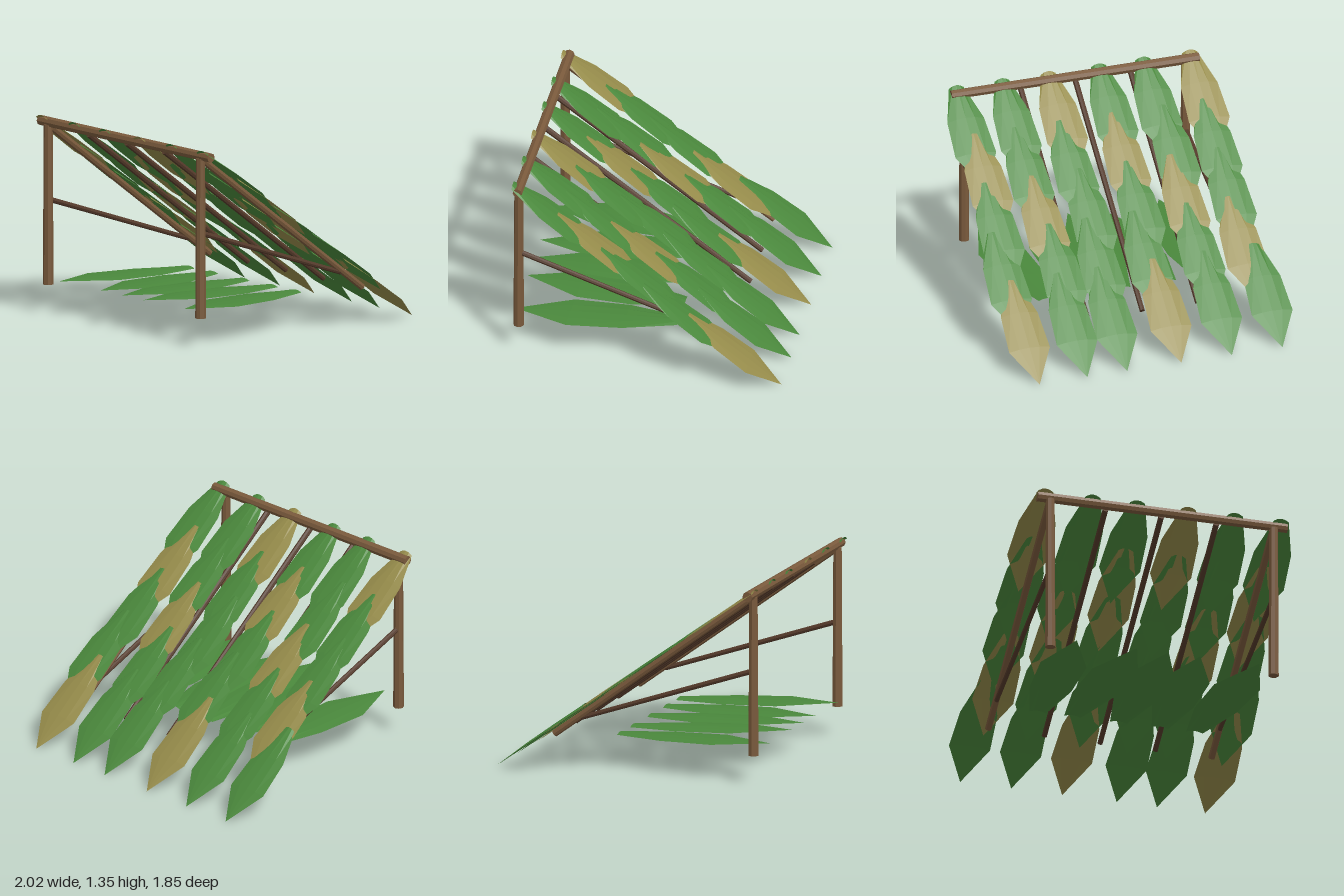
import * as THREE from 'three';

const mat = (name, color, extra = {}) => {
  const m = new THREE.MeshStandardMaterial({ color, flatShading: true, ...extra });
  m.name = name;
  return m;
};

// Tapered eight-sided pole between two points
function pole(name, a, b, r0, r1, material) {
  const from = new THREE.Vector3(...a), to = new THREE.Vector3(...b);
  const dir = to.clone().sub(from);
  const mesh = new THREE.Mesh(new THREE.CylinderGeometry(r1, r0, dir.length(), 8), material);
  mesh.name = name;
  mesh.position.copy(from).add(to).multiplyScalar(0.5);
  mesh.quaternion.setFromUnitVectors(new THREE.Vector3(0, 1, 0), dir.normalize());
  return mesh;
}

// Arched leaf from tip to stem: [position along length, half width share, arch share]
const ROWS = [[0, 0, 0], [0.34, 1, 0.8], [0.68, 0.9, 1], [1, 0.36, 1]];
const ACROSS = [[-1, 0], [-0.5, 0.75], [0, 1], [0.5, 0.75], [1, 0]];

function leaf(name, tip, stem, halfWidth, arch, material) {
  const pos = [], index = [];
  const a = new THREE.Vector3(...tip), b = new THREE.Vector3(...stem);
  const n = ACROSS.length;
  ROWS.forEach(([t, w, h], r) => {
    const p = a.clone().lerp(b, t);
    ACROSS.forEach(([u, v], c) => {
      pos.push(p.x + u * w * halfWidth, p.y + v * h * arch, p.z);
      if (r && c) {
        const i = r * n + c;
        const low = i - n;
        // wind so that normals face up whichever way the leaf points
        if (b.z > a.z) index.push(low - 1, i - 1, low, low, i - 1, i);
        else index.push(low - 1, low, i - 1, low, i, i - 1);
      }
    });
  });
  const g = new THREE.BufferGeometry();
  g.setAttribute('position', new THREE.Float32BufferAttribute(pos, 3));
  g.setIndex(index);
  g.computeVertexNormals();
  const mesh = new THREE.Mesh(g, material);
  mesh.name = name;
  return mesh;
}

export function createModel() {
  const model = new THREE.Group();
  model.name = 'leanToShelter';
  const wood = mat('wood', 0x7a5a3c);
  const darkWood = mat('dark wood', 0x553a2a);
  const green = mat('green leaf', 0x4a883c, { side: THREE.DoubleSide });
  const dry = mat('dry leaf', 0x958b4a, { side: THREE.DoubleSide });

  // Posts, braces and ridge pole
  for (const x of [-0.79, 0.765]) {
    model.add(pole('post', [x, 0.2, 0.87], [x, 1.285, 0.87], 0.036, 0.03, wood));
    model.add(pole('brace', [x, 0.775, 0.86], [x, 0.355, -0.36], 0.018, 0.016, darkWood));
  }
  model.add(pole('ridgePole', [-0.88, 1.3, 0.86], [0.86, 1.3, 0.86], 0.035, 0.032, wood));

  // Rafters
  [-0.79, -0.4, -0.012, 0.372, 0.765].forEach((x, i) => {
    const outer = i === 0 || i === 4;
    model.add(pole('rafter', [x, 1.27, 0.85], [x, 0.23, -0.55],
      outer ? 0.025 : 0.02, outer ? 0.023 : 0.018, outer ? wood : darkWood));
  });

  // Roof leaves: six columns, each laid from eave to ridge
  const columns = [
    { x: [-0.87, -0.8, -0.82, -0.82, -0.83], dry: [1, 4] },
    { x: [-0.515, -0.5, -0.495, -0.53, -0.5], dry: [2] },
    { x: [-0.16, -0.13, -0.18, -0.18, -0.19], dry: [0, 3] },
    { x: [0.22, 0.2, 0.16, 0.185, 0.165], dry: [4] },
    { x: [0.5, 0.47, 0.49, 0.5, 0.49], dry: [2] },
    { x: [0.835, 0.86, 0.81, 0.79, 0.81], dry: [0, 3] },
  ];
  const roof = new THREE.Group();
  roof.name = 'leafRoof';
  const slopeY = z => (z + 0.93) * 0.725;
  for (const col of columns) {
    col.x.forEach((x, i) => {
      const z0 = -0.93 + i * 0.3, z1 = z0 + 0.63;
      roof.add(leaf('roofLeaf', [x, slopeY(z0), z0], [x, slopeY(z1), z1],
        0.143, 0.02, col.dry.includes(i) ? dry : green));
    });
  }
  model.add(roof);

  // Bedding leaves with their tips towards the front
  const bed = new THREE.Group();
  bed.name = 'bedding';
  const tips = [-0.62, -0.2, 0.02, 0.24, 0.65], stems = [-0.56, -0.32, 0, 0.29, 0.53];
  tips.forEach((x, i) => {
    bed.add(leaf('beddingLeaf', [x, 0.25, 0.92], [stems[i], 0.215, -0.17], 0.16, 0.012, green));
  });
  model.add(bed);
  return model;
}
